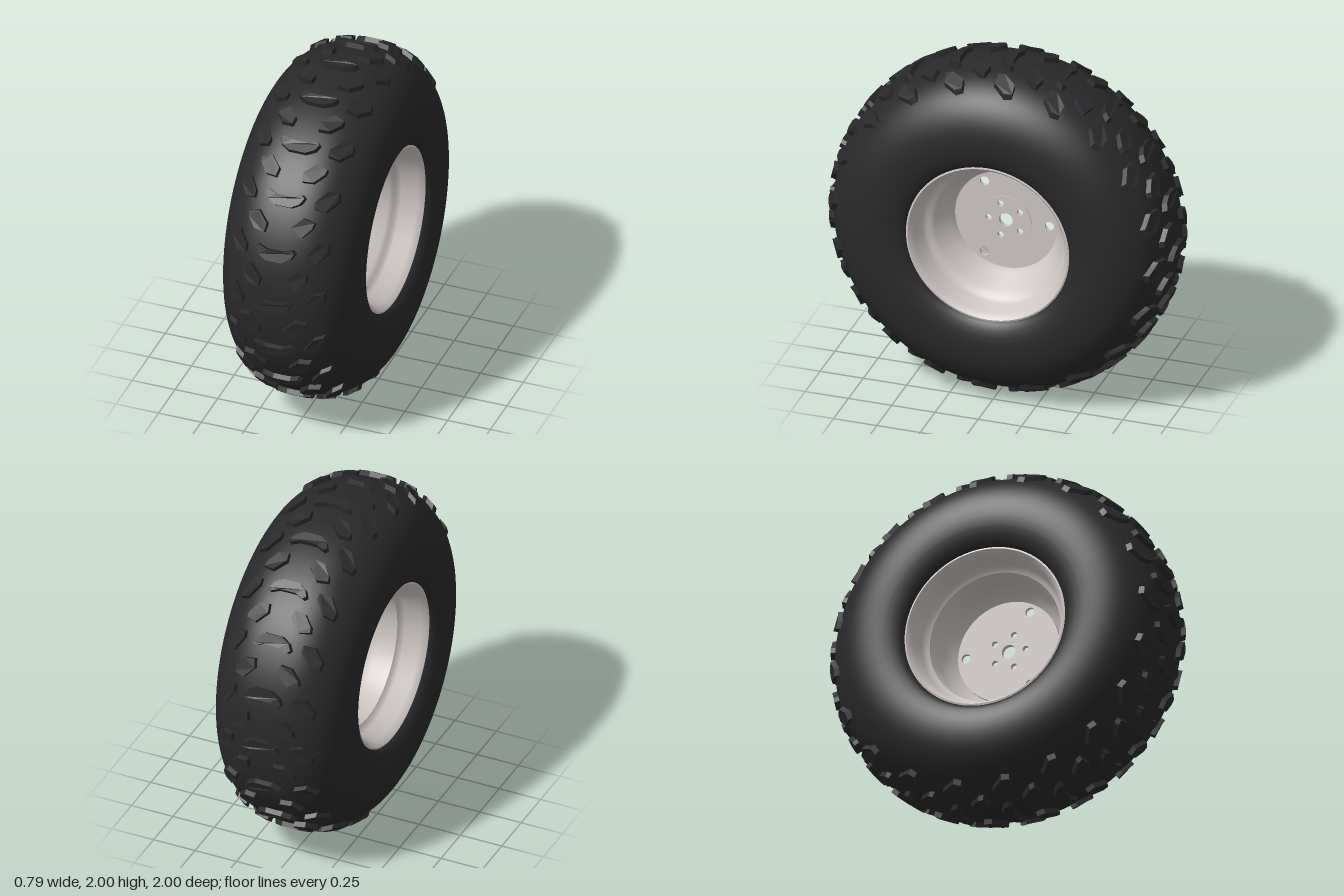
import * as THREE from 'three';
import { mergeGeometries, toCreasedNormals } from 'three/addons/utils/BufferGeometryUtils.js';

const HALF_WIDTH = 0.395, SHOULDER = 0.62, CROWN = 0.352, LUG_ROWS = 20;

// Radius of the tyre carcass at a distance x from its middle
const carcassRadius = (x) =>
  SHOULDER + CROWN * Math.sqrt(Math.max(0, 1 - Math.pow(Math.abs(x) / HALF_WIDTH, 2.5)));

// Spin a profile of [x, radius] points round the x axis
function spin(points, segments) {
  const geometry = new THREE.LatheGeometry(points.map(([x, r]) => new THREE.Vector2(r, x)), segments);
  return geometry.rotateZ(-Math.PI / 2);
}

function makeTyre(material) {
  // Half profile from bead to crown, then mirrored
  const half = new THREE.SplineCurve([
    [0.335, 0.466], [0.362, 0.49], [0.383, 0.54], [0.393, 0.59],
  ].map(([x, r]) => new THREE.Vector2(x, r))).getPoints(8).map((p) => [p.x, p.y]);
  for (let i = 0; i < 20; i++) {
    const a = (1 - i / 20) * Math.PI / 2;
    half.push([HALF_WIDTH * Math.pow(Math.sin(a), 0.8), SHOULDER + CROWN * Math.cos(a)]);
  }
  const left = half.map(([x, r]) => [-x, r]);
  const profile = [...left, [0, SHOULDER + CROWN], ...half.reverse()];
  const tyre = new THREE.Mesh(spin(profile, 96), material);
  tyre.name = 'tyreCarcass';
  return tyre;
}

// One tread block: outline in (across, along) wrapped on to the carcass
function lugGeometry(outline, centreX, angle, mirror) {
  const shape = new THREE.Shape(outline.map(([x, s]) => new THREE.Vector2(x * mirror, s)));
  const geometry = new THREE.ExtrudeGeometry(shape, { depth: 1, bevelEnabled: false });
  const p = geometry.attributes.position;
  for (let i = 0; i < p.count; i++) {
    const top = p.getZ(i) > 0.5;
    const taper = top ? 0.95 : 1.05;
    const x = centreX * mirror + p.getX(i) * taper;
    const theta = angle + p.getY(i) * taper / 0.96;
    const r = carcassRadius(x) + (top ? 0.029 : -0.02);
    p.setXYZ(i, x, r * Math.sin(theta), r * Math.cos(theta));
  }
  geometry.computeVertexNormals();
  return geometry;
}

function makeLugRow(name, outline, centreX, startDegrees, sides, material) {
  const parts = [];
  for (let i = 0; i < LUG_ROWS; i++) {
    const angle = THREE.MathUtils.degToRad(startDegrees + i * 360 / LUG_ROWS);
    for (const side of sides) parts.push(lugGeometry(outline, centreX, angle, side));
  }
  const row = new THREE.Mesh(mergeGeometries(parts), material);
  row.name = name;
  return row;
}

// Flat round plate facing +x, with round holes given as [u, y, radius]
function makePlate(name, radius, holes, x, thickness, material) {
  const shape = new THREE.Shape().absarc(0, 0, radius, 0, Math.PI * 2);
  for (const [u, y, r] of holes) shape.holes.push(new THREE.Path().absarc(u, y, r, 0, Math.PI * 2, true));
  const geometry = new THREE.ExtrudeGeometry(shape, { depth: thickness, bevelEnabled: false, curveSegments: 32 });
  const plate = new THREE.Mesh(geometry.rotateY(Math.PI / 2), material);
  plate.position.x = x;
  plate.name = name;
  return plate;
}

// Ring of equal holes
function holeRing(count, ringRadius, holeRadius, start) {
  return Array.from({ length: count }, (_, i) => {
    const a = start + i * Math.PI * 2 / count;
    return [ringRadius * Math.cos(a), ringRadius * Math.sin(a), holeRadius];
  });
}

export function createModel() {
  const rubber = new THREE.MeshStandardMaterial({ color: 0x29292b });
  const metal = new THREE.MeshStandardMaterial({ color: 0xcdc6c3, side: THREE.DoubleSide });
  const model = new THREE.Group();
  model.name = 'wheel';

  // Tyre and its directional tread
  const tyre = new THREE.Group();
  tyre.name = 'tyre';
  const centreLug = [
    [-0.118, 0.025], [-0.1, 0.042], [-0.05, 0.022], [0.05, 0.022], [0.1, 0.042],
    [0.118, 0.025], [0.098, -0.012], [0.05, -0.04], [-0.05, -0.04], [-0.098, -0.012],
  ];
  const innerLug = [
    [0.063, 0.04], [0, 0.056], [-0.063, -0.01], [-0.055, -0.06], [0.01, -0.052], [0.058, 0.008],
  ];
  const outerLug = [
    [0.053, 0.067], [0, 0.062], [-0.056, -0.018], [-0.052, -0.056], [0.01, -0.058], [0.06, 0.018],
  ];
  tyre.add(
    makeTyre(rubber),
    makeLugRow('centreLugs', centreLug, 0, 1.5, [1], rubber),
    makeLugRow('innerLugs', innerLug, 0.13, 11.5, [-1, 1], rubber),
    makeLugRow('outerLugs', outerLug, 0.225, 3.5, [-1, 1], rubber),
  );

  // Stepped rim barrel with rolled lips
  const rim = new THREE.Group();
  rim.name = 'rim';
  const barrelProfile = [
    [-0.32, 0.478], [-0.342, 0.475], [-0.346, 0.462], [-0.335, 0.452], [-0.31, 0.435],
    [-0.22, 0.42], [-0.2, 0.405], [-0.19, 0.385], [-0.09, 0.37], [-0.03, 0.355], [0.01, 0.32],
    [0.03, 0.295], [0.07, 0.31], [0.11, 0.345], [0.17, 0.365], [0.19, 0.385], [0.2, 0.405],
    [0.22, 0.42], [0.31, 0.435], [0.335, 0.452], [0.346, 0.462], [0.342, 0.475], [0.32, 0.478],
  ];
  const barrel = new THREE.Mesh(toCreasedNormals(spin(barrelProfile, 72), 0.6), metal);
  barrel.name = 'rimBarrel';

  // Mounting disc and the hub plate on it
  const hubHoles = [[0, 0, 0.04], ...holeRing(5, 0.1, 0.018, Math.PI)];
  const discHoles = [...hubHoles, ...holeRing(3, 0.25, 0.027, 0)];
  rim.add(
    barrel,
    makePlate('mountingDisc', 0.297, discHoles, 0.01, 0.02, metal),
    makePlate('hubPlate', 0.145, hubHoles, 0.03, 0.006, metal),
  );

  model.add(tyre, rim);
  model.position.y = 1;
  const root = new THREE.Group();
  root.add(model);
  return root;
}
